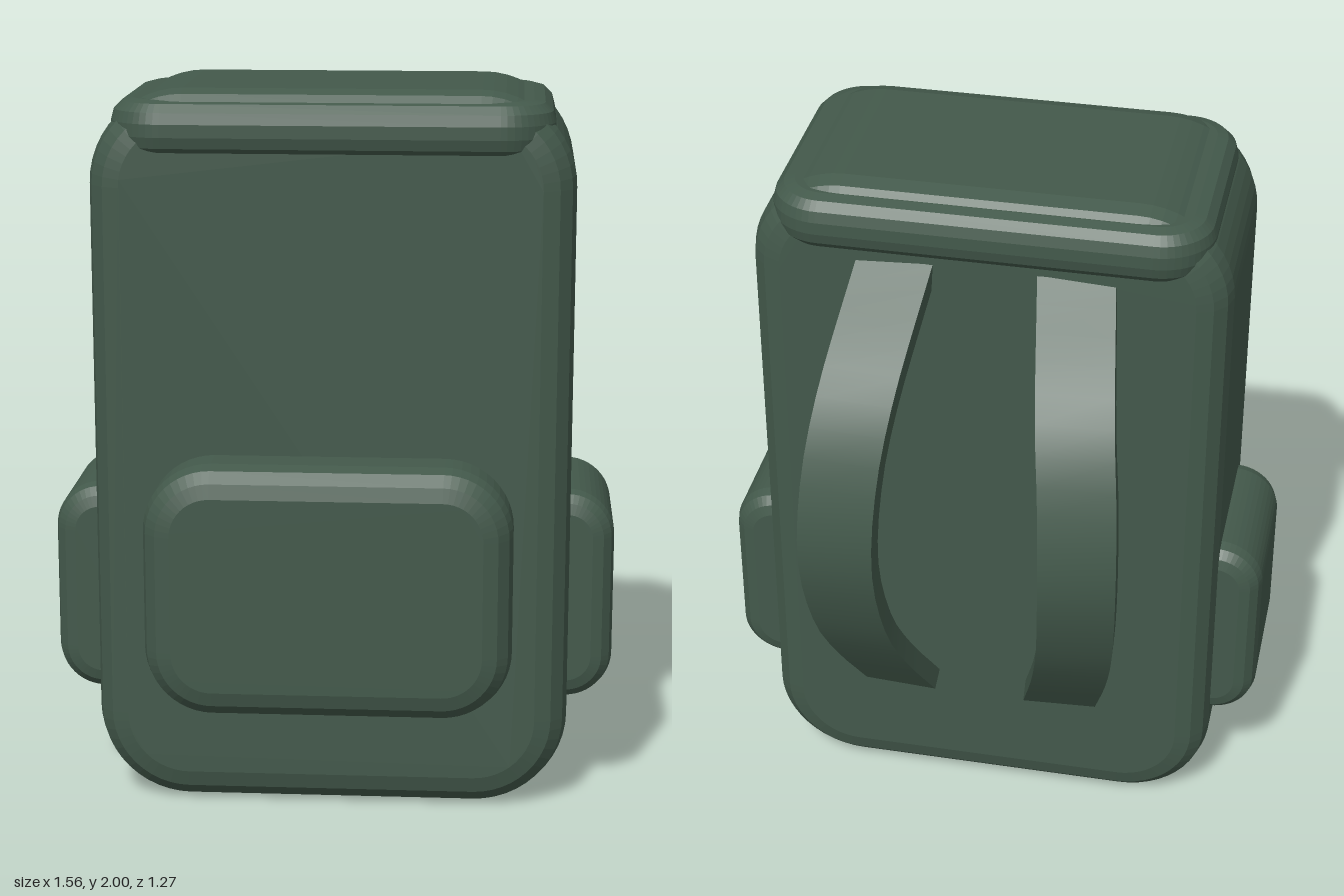
import * as THREE from 'three';

const fabric = new THREE.MeshStandardMaterial({ color: 0x43594b });
fabric.name = 'dark green fabric';

// Rounded rectangle w x h, extruded to depth d along z, with rounded rims; centred on the origin
function softBlock(w, h, d, radius, rim) {
  const x = w / 2 - rim, y = h / 2 - rim, r = Math.max(radius - rim, 0.01);
  const s = new THREE.Shape();
  s.moveTo(-x + r, -y);
  s.lineTo(x - r, -y);
  s.absarc(x - r, -y + r, r, -Math.PI / 2, 0);
  s.lineTo(x, y - r);
  s.absarc(x - r, y - r, r, 0, Math.PI / 2);
  s.lineTo(-x + r, y);
  s.absarc(-x + r, y - r, r, Math.PI / 2, Math.PI);
  s.lineTo(-x, -y + r);
  s.absarc(-x + r, -y + r, r, Math.PI, Math.PI * 1.5);
  const g = new THREE.ExtrudeGeometry(s, {
    depth: d - 2 * rim, bevelEnabled: true, bevelSize: rim, bevelThickness: rim,
    bevelSegments: 3, curveSegments: 6,
  });
  return g.translate(0, 0, rim - d / 2);
}

// Flat band bent along a curve that runs upwards behind the pack
function strapGeometry(side) {
  const path = new THREE.CatmullRomCurve3([
    [0.235, 0.435, -0.29], [0.285, 0.64, -0.43], [0.315, 0.82, -0.53], [0.33, 1.08, -0.6],
    [0.32, 1.32, -0.56], [0.295, 1.51, -0.47], [0.245, 1.78, -0.19],
  ].map(([x, y, z]) => new THREE.Vector3(x * side, y, z)));
  const g = new THREE.BoxGeometry(0.21, 1, 0.06, 1, 20, 1);
  const pos = g.attributes.position, v = new THREE.Vector3();
  const across = new THREE.Vector3(1, 0, 0.06 * side).normalize();
  for (let i = 0; i < pos.count; i++) {
    v.fromBufferAttribute(pos, i);
    const t = THREE.MathUtils.clamp(v.y + 0.5, 0, 1);
    const normal = new THREE.Vector3().crossVectors(across, path.getTangentAt(t)).normalize();
    const p = path.getPointAt(t).addScaledVector(across, v.x).addScaledVector(normal, v.z);
    pos.setXYZ(i, p.x, p.y, p.z);
  }
  g.computeVertexNormals();
  return g;
}

export function createModel() {
  const model = new THREE.Group();
  model.name = 'backpack';
  const add = (name, geometry, x = 0, y = 0, z = 0) => {
    const mesh = new THREE.Mesh(geometry, fabric);
    mesh.name = name;
    mesh.position.set(x, y, z);
    model.add(mesh);
  };

  // Main bag and the lid wrapped round its top
  add('body', softBlock(1.315, 2, 0.675, 0.26, 0.09), 0, 1, 0.122);
  add('lid', softBlock(1.2, 0.73, 0.155, 0.15, 0.06).rotateX(-Math.PI / 2), 0, 1.895, 0.115);

  // Pockets, sunk into the body
  add('frontPocket', softBlock(1.005, 0.705, 0.36, 0.19, 0.08), 0, 0.657, 0.455);
  for (const side of [1, -1]) {
    const label = side > 0 ? 'left' : 'right';
    add(label + 'Pocket', softBlock(0.34, 0.6, 0.485, 0.13, 0.06), side * 0.612, 0.59, 0.118);
    add(label + 'Strap', strapGeometry(side));
  }
  return model;
}
